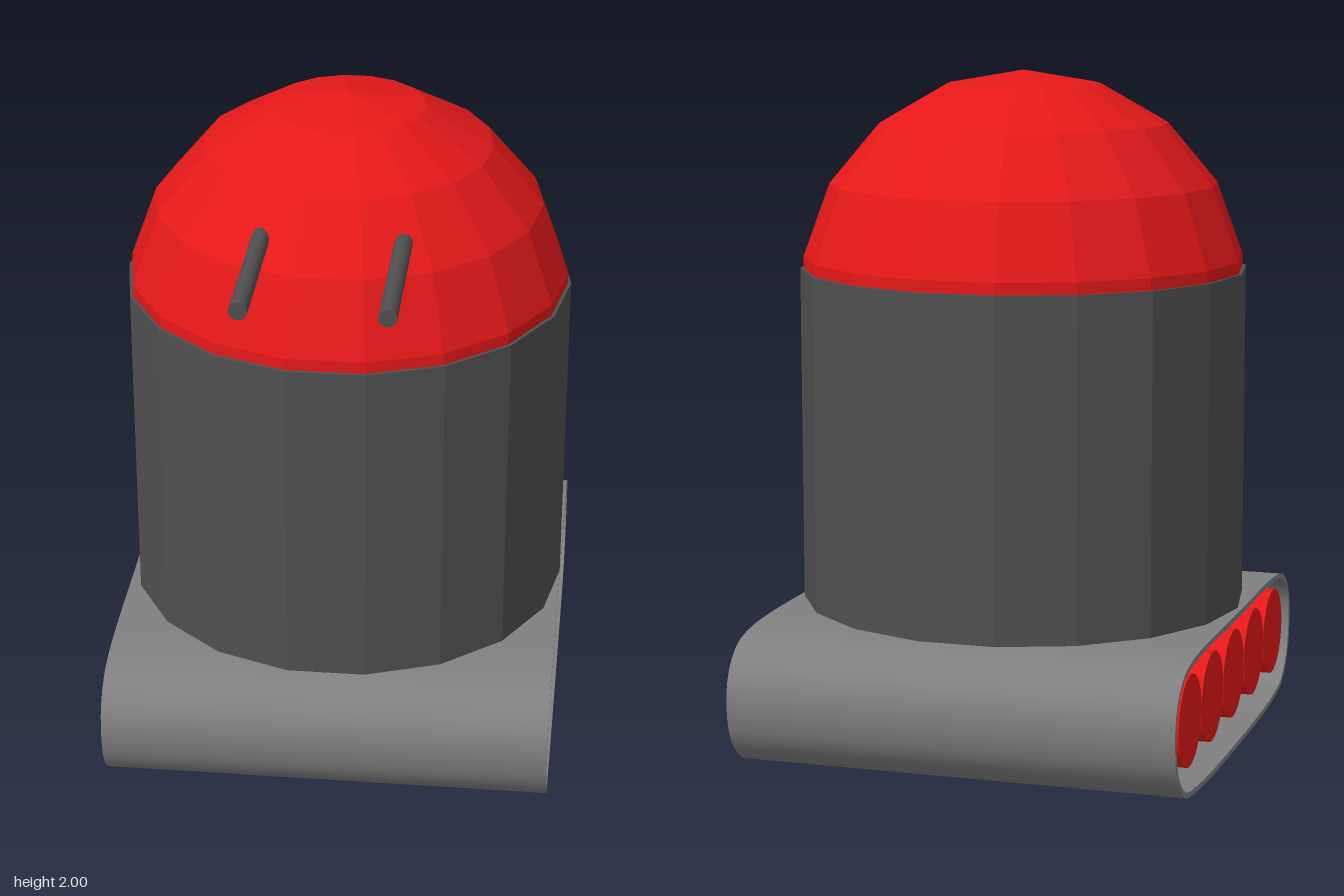
import * as THREE from 'three';
import { toCreasedNormals } from 'three/addons/utils/BufferGeometryUtils.js';

const CZ = -0.09; // shared centre of body, dome and track
const R = 0.66;

export function createModel() {
  const model = new THREE.Group();
  const red = new THREE.MeshStandardMaterial({ color: 0xe61919 });
  const redFlat = new THREE.MeshStandardMaterial({ color: 0xe61919, flatShading: true });
  const dark = new THREE.MeshStandardMaterial({ color: 0x505050 });
  const darkFlat = new THREE.MeshStandardMaterial({ color: 0x505050, flatShading: true });
  const grey = new THREE.MeshStandardMaterial({ color: 0x808080, side: THREE.DoubleSide });

  const add = (name, geometry, material, x, y, z) => {
    const mesh = new THREE.Mesh(geometry, material);
    mesh.name = name;
    mesh.position.set(x, y, z);
    model.add(mesh);
    return mesh;
  };

  // Faceted drum and the dome set into its top
  add('body', new THREE.CylinderGeometry(R, R, 0.99, 18).rotateY(Math.PI / 2), darkFlat, 0, 0.925, CZ);
  add('dome', new THREE.SphereGeometry(R, 18, 9), redFlat, 0, 1.34, CZ);

  // Pair of barrels poking out of the dome
  const barrel = new THREE.CylinderGeometry(0.026, 0.026, 0.54, 16).rotateX(Math.PI / 2);
  for (const side of [-1, 1]) add(side > 0 ? 'leftBarrel' : 'rightBarrel', barrel, dark, side * 0.2, 1.737, 0.565);

  // Track: a thin closed belt, symmetric front to back, extruded across the width
  const half = [[0.5, 0.021], [0.63, 0.045], [0.71, 0.12], [0.735, 0.23], [0.717, 0.31], [0.66, 0.37], [0.56, 0.398]];
  const points = [
    [0, 0.008], ...half, [0, 0.405],
    ...half.map(([z, y]) => [-z, y]).reverse(),
  ].map(([z, y]) => new THREE.Vector3(z, y, 0));
  const loop = new THREE.CatmullRomCurve3(points, true);
  const outline = (offset) => Array.from({ length: 96 }, (_, i) => {
    const p = loop.getPointAt(i / 96), t = loop.getTangentAt(i / 96);
    return new THREE.Vector2(p.x + t.y * offset, p.y - t.x * offset);
  });
  const belt = new THREE.Shape(outline(0.008));
  belt.holes.push(new THREE.Path(outline(-0.008)));
  const trackGeometry = new THREE.ExtrudeGeometry(belt, { depth: 2 * R, bevelEnabled: false });
  trackGeometry.translate(0, 0, -R).rotateY(Math.PI / 2);
  add('track', toCreasedNormals(trackGeometry, 0.6), grey, 0, 0, CZ);

  // Five full-width rollers inside the belt
  const roller = new THREE.CylinderGeometry(0.132, 0.132, 1.3, 32).rotateZ(Math.PI / 2);
  for (let i = -2; i <= 2; i++) add('roller' + (i + 3), roller, red, 0, 0.23, CZ + i * 0.266);

  return model;
}
